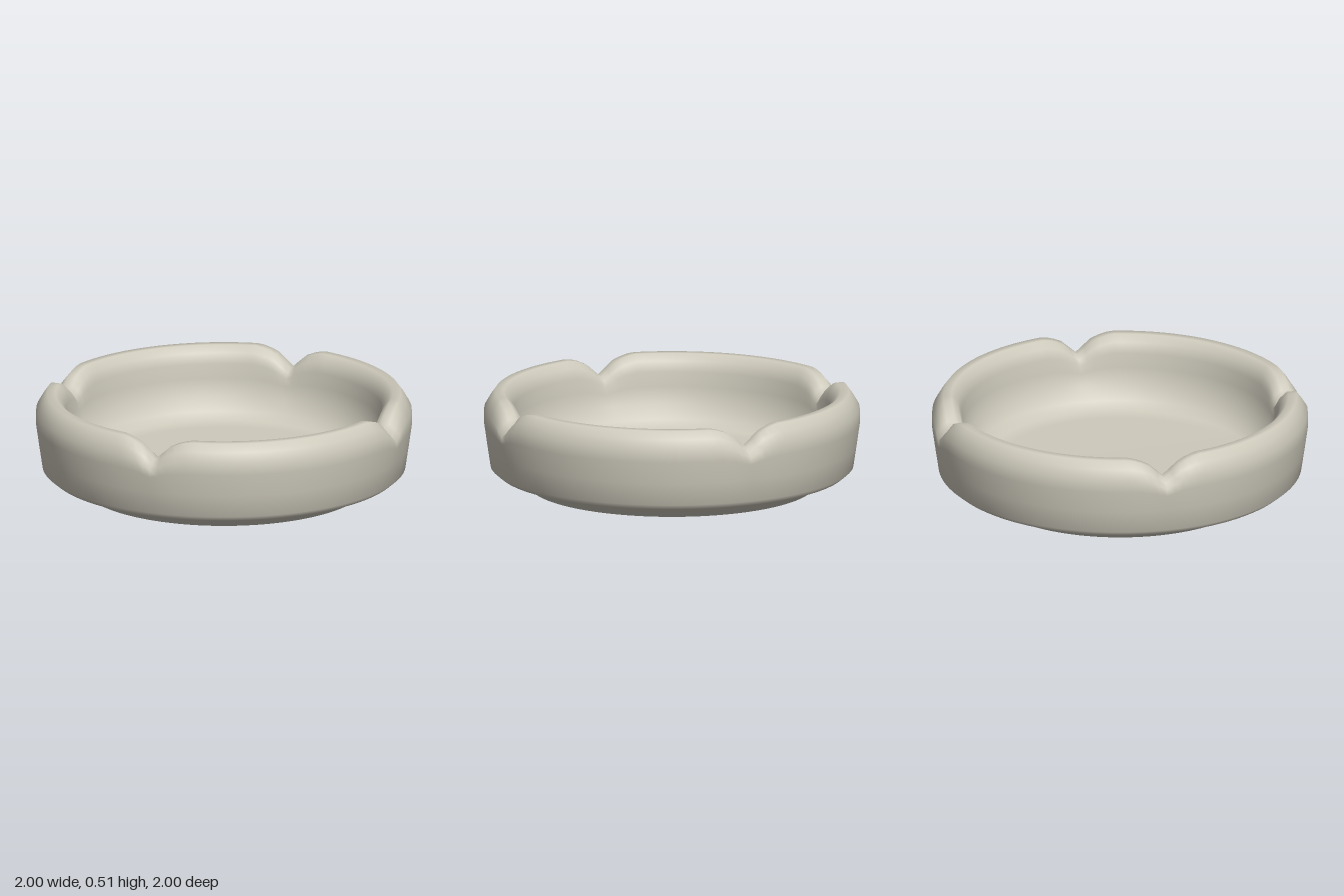
import * as THREE from 'three';
import { mergeVertices } from 'three/addons/utils/BufferGeometryUtils.js';

// Height of the rim at a given sideways distance from the middle of a notch
function rimHeight(d) {
  if (d < 0.09) return THREE.MathUtils.lerp(0.4, 0.48, d / 0.09);
  if (d < 0.18) return THREE.MathUtils.lerp(0.48, 0.51, (d - 0.09) / 0.09);
  return 0.51;
}

export function createModel() {
  const model = new THREE.Group();
  const ceramic = new THREE.MeshStandardMaterial({ color: 0xcdc9bb });
  ceramic.name = 'warm grey ceramic';

  // Closed section: recessed underside, outer wall, rounded rim, inner wall, floor
  const section = [
    [0, 0.03], [0.62, 0.03], [0.7, 0.02], [0.735, 0], [0.76, 0],
    [0.79, 0.03], [0.93, 0.08], [0.965, 0.11], [0.983, 0.23], [1, 0.35],
    [0.998, 0.42], [0.97, 0.468], [0.94, 0.51], [0.895, 0.51], [0.86, 0.475],
    [0.84, 0.42], [0.838, 0.34], [0.82, 0.25], [0.775, 0.175], [0.72, 0.14],
    [0.64, 0.13], [0, 0.13],
  ].map(([r, y]) => new THREE.Vector2(r, y));
  const lathe = new THREE.LatheGeometry(section, 144);

  // Press four V-shaped notches into the upper part of the wall
  const p = lathe.attributes.position;
  const base = 0.28;
  for (let i = 0; i < p.count; i++) {
    const x = p.getX(i), y = p.getY(i), z = p.getZ(i);
    if (y <= base) continue;
    const top = rimHeight(Math.min(Math.abs(x), Math.abs(z)));
    p.setY(i, base + (y - base) * (top - base) / (0.51 - base));
  }

  // Weld the seam so the normals stay smooth all the way round
  lathe.deleteAttribute('uv');
  lathe.deleteAttribute('normal');
  const geometry = mergeVertices(lathe, 1e-4);
  geometry.computeVertexNormals();

  const bowl = new THREE.Mesh(geometry, ceramic);
  bowl.name = 'notchedBowl';
  model.add(bowl);
  return model;
}
